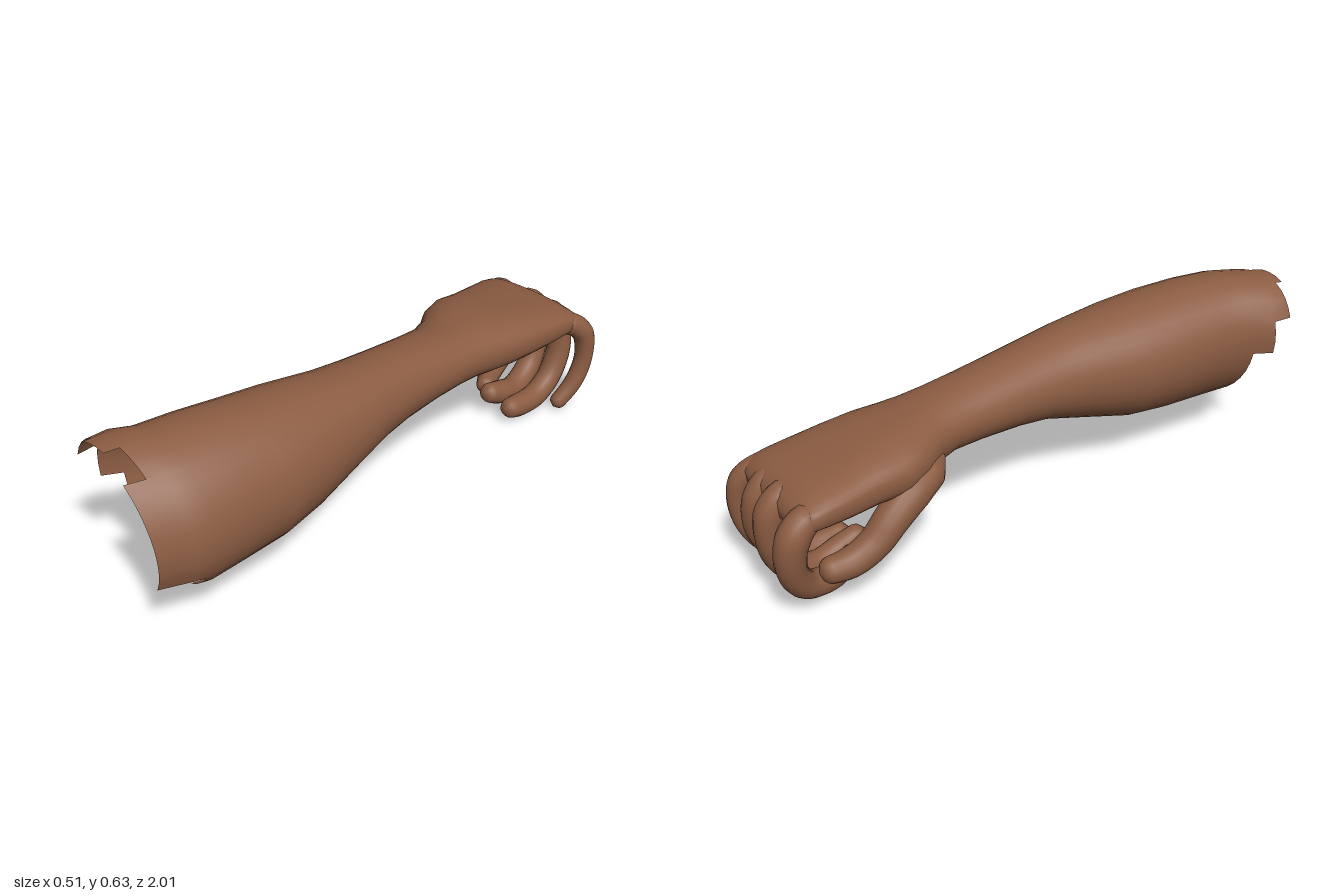
import * as THREE from 'three';
import { mergeVertices } from 'three/addons/utils/BufferGeometryUtils.js';

// Cross-sections from elbow to knuckles: z, xMin, xMax, yMin, yMax, squareness
const SECTIONS = [
  [1.0, -0.245, 0.155, 0.17, 0.62, 1],
  [0.89, -0.25, 0.205, 0.155, 0.63, 1],
  [0.83, -0.215, 0.226, 0.153, 0.63, 1],
  [0.7, -0.197, 0.235, 0.155, 0.63, 1],
  [0.55, -0.186, 0.249, 0.163, 0.617, 1],
  [0.4, -0.172, 0.24, 0.185, 0.602, 1],
  [0.2, -0.127, 0.21, 0.24, 0.576, 1],
  [0.07, -0.11, 0.19, 0.278, 0.558, 1],
  [-0.05, -0.105, 0.175, 0.293, 0.542, 1],
  [-0.2, -0.106, 0.164, 0.3, 0.522, 1],
  [-0.32, -0.112, 0.16, 0.304, 0.504, 0.95],
  [-0.4, -0.14, 0.16, 0.3, 0.496, 0.9],
  [-0.48, -0.195, 0.17, 0.288, 0.493, 0.88],
  [-0.56, -0.222, 0.182, 0.286, 0.487, 0.85],
  [-0.66, -0.22, 0.188, 0.293, 0.467, 0.78],
  [-0.76, -0.23, 0.19, 0.298, 0.447, 0.72],
  [-0.84, -0.237, 0.19, 0.302, 0.435, 0.72],
  [-0.885, -0.236, 0.192, 0.303, 0.424, 0.75],
  [-0.917, -0.225, 0.19, 0.305, 0.4, 0.78],
  [-0.935, -0.19, 0.165, 0.325, 0.375, 0.8],
  [-0.938, -0.02, -0.01, 0.345, 0.35, 1],
];
const SIDES = 36;

// Point on the arm's skin at a depth z and side index j; the arm leans towards the elbow
function skinPoint(z, j) {
  let i = 0;
  while (i < SECTIONS.length - 2 && SECTIONS[i + 1][0] > z) i++;
  const a = SECTIONS[i], b = SECTIONS[i + 1];
  const k = (z - a[0]) / (b[0] - a[0]);
  const [, x0, x1, y0, y1, e] = a.map((v, n) => v + (b[n] - v) * k);
  const lean = 0.085 * Math.max(0, z - 0.3);
  const t = ((j % SIDES) / SIDES) * Math.PI * 2;
  const bend = (v) => Math.sign(v) * Math.pow(Math.abs(v), e);
  return [
    (x0 + x1) / 2 + (bend(Math.cos(t)) * (x1 - x0)) / 2 - lean * Math.sin(t),
    (y0 + y1) / 2 + (bend(Math.sin(t)) * (y1 - y0)) / 2,
    z,
  ];
}

// Torn edge: how far the skin reaches at each side, in degrees from +x
function tornEnd(j) {
  const deg = ((j + 0.5) / SIDES) * 360;
  if (deg < 50 || deg > 320) return 1.0;
  if (deg < 80) return 0.94;
  if (deg < 110) return 0.985;
  if (deg < 150) return 0.96;
  if (deg < 180) return 0.89;
  return deg > 290 ? 0.86 : 0.83;
}

function smooth(geometry) {
  geometry.deleteAttribute('uv');
  geometry.deleteAttribute('normal');
  const merged = mergeVertices(geometry, 1e-5);
  merged.computeVertexNormals();
  return merged;
}

function armGeometry() {
  const points = [];
  const quad = (z0, z1, j) => {
    const a = skinPoint(z0, j), b = skinPoint(z0, j + 1);
    const c = skinPoint(z1, j), d = skinPoint(z1, j + 1);
    points.push(...a, ...c, ...b, ...b, ...c, ...d);
  };
  for (let j = 0; j < SIDES; j++) {
    for (let i = 2; i < SECTIONS.length - 1; i++) quad(SECTIONS[i][0], SECTIONS[i + 1][0], j);
    const end = tornEnd(j);
    if (end > 0.83) quad(Math.min(end, 0.89), 0.83, j);
    if (end > 0.89) quad(end, 0.89, j);
  }
  const g = new THREE.BufferGeometry();
  g.setAttribute('position', new THREE.Float32BufferAttribute(points, 3));
  return smooth(g);
}

// Tapered finger along points [x, y, z, radius], with a rounded tip
function fingerGeometry(path) {
  const curve = new THREE.CatmullRomCurve3(path.map((p) => new THREE.Vector3(p[0], p[1], p[2])));
  const rows = 48, sides = 16, length = curve.getLength();
  const g = new THREE.TubeGeometry(curve, rows, 1, sides);
  const pos = g.attributes.position, v = new THREE.Vector3();
  const tip = path[path.length - 1][3];
  for (let i = 0; i <= rows; i++) {
    const u = i / rows, c = curve.getPointAt(u);
    const s = curve.getUtoTmapping(u) * (path.length - 1);
    const n = Math.min(Math.floor(s), path.length - 2);
    let r = THREE.MathUtils.lerp(path[n][3], path[n + 1][3], s - n);
    const left = Math.min(1, ((1 - u) * length) / tip);
    r *= Math.sqrt(Math.max(0, 1 - (1 - left) ** 2));
    for (let j = 0; j <= sides; j++) {
      const id = i * (sides + 1) + j;
      v.fromBufferAttribute(pos, id).sub(c).multiplyScalar(r).add(c);
      pos.setXYZ(id, v.x, v.y, v.z);
    }
  }
  return smooth(g);
}

// Each finger starts thin inside the palm and widens at the knuckle
const FINGERS = {
  thumb: [
    [-0.12, 0.37, -0.4, 0.02], [-0.15, 0.345, -0.46, 0.058], [-0.178, 0.315, -0.54, 0.064],
    [-0.197, 0.262, -0.62, 0.058], [-0.203, 0.2, -0.69, 0.053], [-0.2, 0.162, -0.77, 0.05],
    [-0.195, 0.16, -0.875, 0.04],
  ],
  indexFinger: [
    [-0.178, 0.355, -0.84, 0.015], [-0.182, 0.36, -0.89, 0.048], [-0.185, 0.31, -0.942, 0.054],
    [-0.175, 0.2, -0.952, 0.048], [-0.15, 0.105, -0.9, 0.046], [-0.115, 0.072, -0.79, 0.043],
    [-0.045, 0.08, -0.67, 0.032],
  ],
  middleFinger: [
    [-0.045, 0.36, -0.84, 0.015], [-0.042, 0.37, -0.89, 0.048], [-0.037, 0.32, -0.94, 0.051],
    [-0.032, 0.2, -0.946, 0.047], [-0.02, 0.1, -0.9, 0.045], [-0.008, 0.047, -0.8, 0.046],
    [0, 0.072, -0.7, 0.044], [0, 0.108, -0.615, 0.034],
  ],
  ringFinger: [
    [0.06, 0.36, -0.84, 0.015], [0.062, 0.365, -0.89, 0.046], [0.068, 0.31, -0.932, 0.049],
    [0.083, 0.2, -0.938, 0.045], [0.086, 0.1, -0.89, 0.044], [0.086, 0.05, -0.81, 0.044],
    [0.087, 0.05, -0.71, 0.043], [0.087, 0.068, -0.63, 0.034],
  ],
  littleFinger: [
    [0.148, 0.355, -0.82, 0.015], [0.157, 0.358, -0.88, 0.042], [0.184, 0.31, -0.937, 0.04],
    [0.19, 0.2, -0.95, 0.034], [0.18, 0.1, -0.915, 0.033], [0.153, 0.012, -0.84, 0.029],
  ],
};

export function createModel() {
  const skin = new THREE.MeshStandardMaterial({ color: 0x8b5c42, side: THREE.DoubleSide });
  skin.name = 'brown skin';
  const model = new THREE.Group();
  model.name = 'arm';
  const add = (name, geometry) => {
    const mesh = new THREE.Mesh(geometry, skin);
    mesh.name = name;
    model.add(mesh);
  };
  add('forearmAndPalm', armGeometry());
  for (const [name, path] of Object.entries(FINGERS)) add(name, fingerGeometry(path));
  return model;
}
